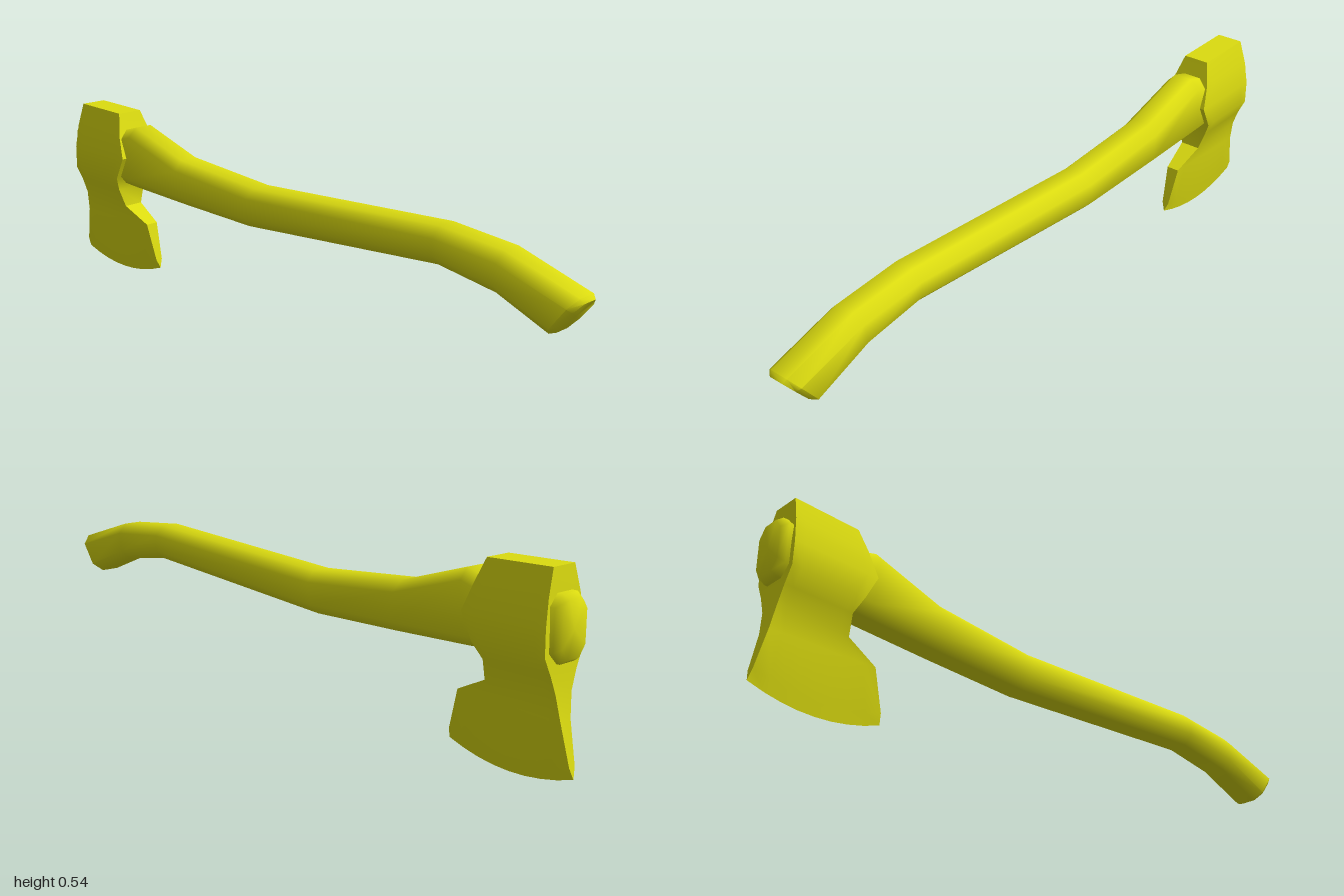
import * as THREE from 'three';
import { toCreasedNormals } from 'three/addons/utils/BufferGeometryUtils.js';

// Skin a list of equal-length closed rings, with fan caps at both ends.
function loft(rings, crease) {
  const n = rings[0].length;
  const pos = rings.flat(2);
  const index = [];
  for (let i = 0; i < rings.length - 1; i++) {
    for (let j = 0; j < n; j++) {
      const a = i * n + j, b = i * n + (j + 1) % n;
      index.push(a, a + n, b + n, a, b + n, b);
    }
  }
  [0, rings.length - 1].forEach((r, end) => {
    const c = pos.length / 3;
    for (let k = 0; k < 3; k++) pos.push(rings[r].reduce((s, p) => s + p[k], 0) / n);
    for (let j = 0; j < n; j++) {
      const a = r * n + j, b = r * n + (j + 1) % n;
      if (end) index.push(c, b, a); else index.push(c, a, b);
    }
  });
  const g = new THREE.BufferGeometry();
  g.setAttribute('position', new THREE.Float32BufferAttribute(pos, 3));
  g.setIndex(index);
  return toCreasedNormals(g, crease);
}

const lerp = THREE.MathUtils.lerp;

// Chamfered octagon hung between a top and a bottom point of the handle.
function handleRing([zTop, yTop, zBot, yBot, w = 0.057]) {
  const c = 0.029 / Math.hypot(zTop - zBot, yTop - yBot);
  const half = w * 0.5;
  return [[half, 1], [w, 1 - c], [w, c], [half, 0], [-half, 0], [-w, c], [-w, 1 - c], [-half, 1]]
    .map(([x, t]) => [x, lerp(yTop, yBot, t), lerp(zTop, zBot, t)]);
}

// One level of the head: right flank front to back, then left flank back to front.
function headRing([yFront, zFront, yBack, zBack, w, sag = 0]) {
  const cols = 8, ring = [];
  for (const side of [1, -1]) {
    for (let i = 0; i <= cols; i++) {
      const u = side > 0 ? i / cols : 1 - i / cols;
      ring.push([side * w, lerp(yFront, yBack, u) - sag * 4 * u * (1 - u), lerp(zFront, zBack, u)]);
    }
  }
  return ring;
}

export function createModel() {
  const group = new THREE.Group();
  const yellow = new THREE.MeshStandardMaterial({ color: 0xdcdc10 });
  yellow.name = 'yellow';

  // Curved handle, from the slanted grip end to the stub behind the head
  const handle = new THREE.Mesh(loft([
    [1.0, 0.352, 0.928, 0.26, 0.044],
    [0.99, 0.363, 0.91, 0.254],
    [0.77, 0.43, 0.75, 0.317],
    [0.565, 0.448, 0.565, 0.345],
    [-0.13, 0.408, -0.15, 0.29],
    [-0.46, 0.433, -0.45, 0.296],
    [-0.68, 0.5, -0.7, 0.304],
    [-0.75, 0.48, -0.75, 0.307],
    [-0.965, 0.478, -0.965, 0.31],
    [-0.982, 0.466, -0.982, 0.322, 0.045],
  ].map(handleRing), 1.0), yellow);
  handle.name = 'handle';

  // Axe head, from the poll down to the curved cutting edge
  const head = new THREE.Mesh(loft([
    [0.536, -0.75, 0.54, -0.945, 0.041],
    [0.47, -0.727, 0.47, -0.95, 0.061],
    [0.40, -0.70, 0.40, -0.954, 0.072],
    [0.33, -0.735, 0.33, -0.955, 0.072],
    [0.285, -0.755, 0.285, -0.957, 0.05],
    [0.228, -0.748, 0.235, -0.96, 0.031],
    [0.182, -0.653, 0.17, -0.969, 0.02],
    [0.068, -0.621, 0.06, -0.994, 0.011, 0.03],
    [0.04, -0.615, 0.03, -1.0, 0, 0.035],
  ].map(headRing), 0.6), yellow);
  head.name = 'axeHead';

  group.add(handle, head);
  return group;
}
